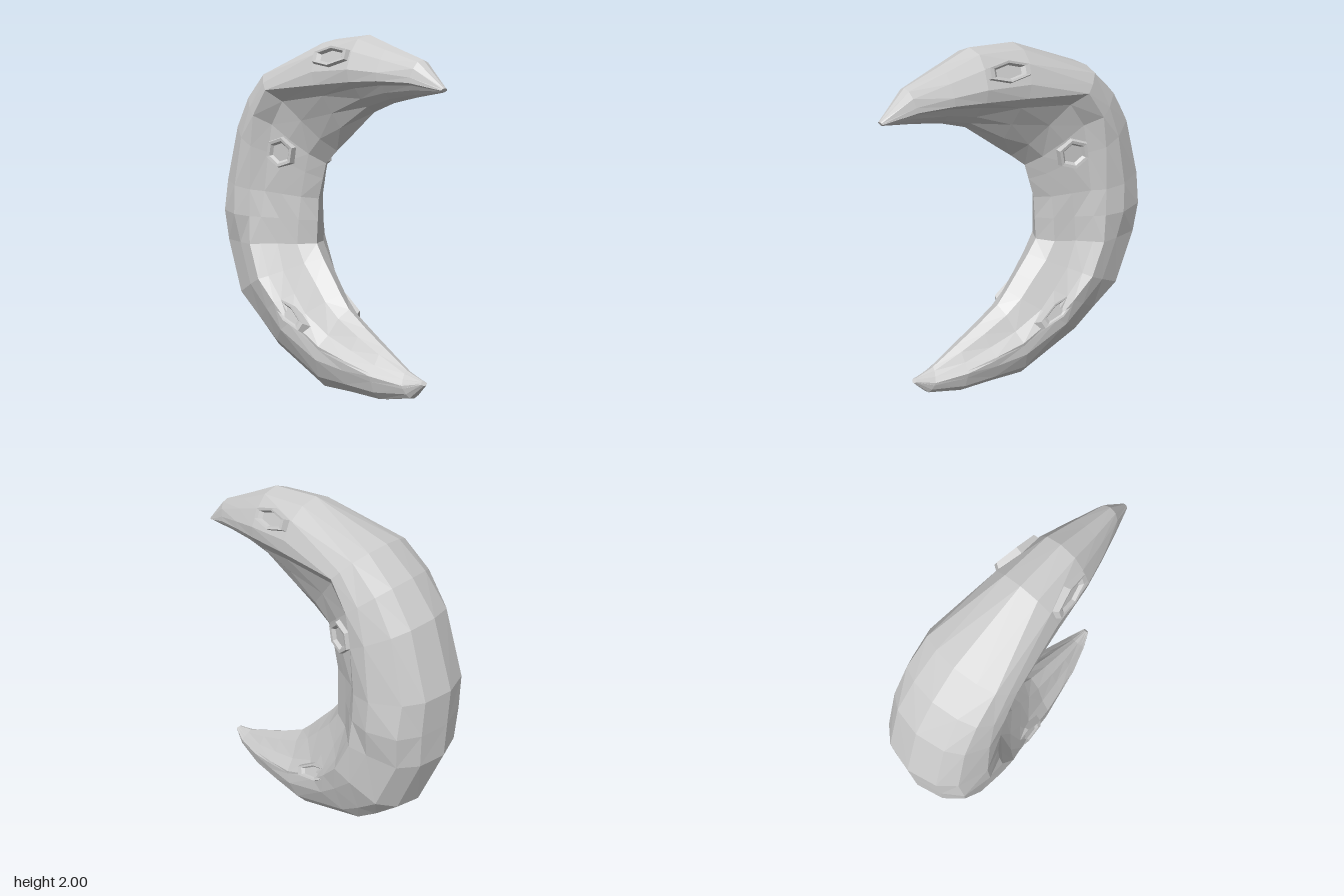
import * as THREE from 'three';

// Stations from upper tip to lower tip:
// outer x, outer y, inner x, inner y, half width, place of the side crease (0 outer .. 1 inner)
const STATIONS = [
  [0.845, 1.71, 0.835, 1.69, 0.02, 0.6],
  [0.70, 1.85, 0.66, 1.67, 0.075, 0.65],
  [0.50, 1.925, 0.50, 1.645, 0.13, 0.65],
  [0.31, 2.00, 0.35, 1.60, 0.175, 0.65],
  [0.03, 2.00, 0.15, 1.46, 0.21, 0.5],
  [-0.42, 1.86, 0.04, 1.385, 0.265, 0.3],
  [-0.58, 1.73, -0.06, 1.31, 0.28, 0.36],
  [-0.72, 1.56, -0.09, 1.22, 0.29, 0.46],
  [-0.85, 1.20, -0.13, 1.10, 0.30, 0.54],
  [-0.85, 1.00, -0.14, 0.97, 0.31, 0.54],
  [-0.85, 0.80, -0.15, 0.83, 0.305, 0.56],
  [-0.72, 0.43, -0.09, 0.75, 0.295, 0.56],
  [-0.56, 0.27, 0.00, 0.65, 0.26, 0.55],
  [-0.42, 0.15, 0.08, 0.56, 0.235, 0.55],
  [0.04, 0.00, 0.15, 0.49, 0.20, 0.55],
  [0.27, 0.035, 0.30, 0.41, 0.165, 0.55],
  [0.48, 0.06, 0.45, 0.34, 0.125, 0.55],
  [0.68, 0.13, 0.62, 0.265, 0.065, 0.55],
  [0.755, 0.22, 0.735, 0.24, 0.02, 0.55],
];

// Half cross-section: u = 0 outer edge, 1 crease, 2 inner edge;
// then relative width in the middle of the crescent and in its horns
const PROFILE = [
  [0, 0, 0], [0.1, 0.57, 0.48], [0.35, 0.9, 0.78], [0.75, 1, 0.96],
  [1, 0.92, 0.97], [1.15, 0.68, 0.7], [1.45, 0.49, 0.5], [1.8, 0.28, 0.27], [2, 0, 0],
];
const MIDDLE = 9;
const { clamp, lerp } = THREE.MathUtils;

function crescentGeometry() {
  const n = PROFILE.length, ringSize = 2 * n - 2;
  const rings = STATIONS.map(([ox, oy, ix, iy, w, k], i) => {
    const horn = clamp(Math.abs(i - MIDDLE) / 3.5, 0, 1);
    const full = 1 + 0.32 * clamp((i - 8) / 5, 0, 1); // the lower horn is less hollow
    const half = PROFILE.map(([u, zMiddle, zHorn], j) => {
      const inside = j > 1 && j < n - 2;
      const rough = inside ? 0.03 * Math.sin(i * 12.9 + j * 7.3) : 0; // hewn surface
      const dent = i === 10 && (j === 2 || j === 3) ? 0.95 : 1; // worn hollow low on the outer flank
      const t = (u <= 1 ? u * k : k + (u - 1) * (1 - k)) + rough;
      const depth = lerp(zMiddle, zHorn, horn) * w * (u > 1 ? full : 1) * dent * (1 + 0.03 * Math.sin(i * 5.1 + j * 3.7));
      return new THREE.Vector3(ox + (ix - ox) * t, oy + (iy - oy) * t, depth);
    });
    const back = half.slice(1, -1).reverse().map((p) => new THREE.Vector3(p.x, p.y, -p.z));
    return half.concat(back);
  });
  const pos = [];
  const tri = (...pts) => pts.forEach((p) => pos.push(p.x, p.y, p.z));
  for (let i = 0; i < rings.length - 1; i++) {
    for (let j = 0; j < ringSize; j++) {
      const j2 = (j + 1) % ringSize;
      const a = rings[i][j], b = rings[i + 1][j], c = rings[i + 1][j2], d = rings[i][j2];
      // Split each quad along its shorter diagonal
      if (a.distanceTo(c) < b.distanceTo(d)) { tri(a, b, c); tri(a, c, d); }
      else { tri(a, b, d); tri(b, c, d); }
    }
  }
  // Close both tips
  const first = rings[0], last = rings[rings.length - 1];
  for (let j = 1; j < ringSize - 1; j++) {
    tri(first[0], first[j], first[j + 1]);
    tri(last[0], last[j + 1], last[j]);
  }
  const geo = new THREE.BufferGeometry();
  geo.setAttribute('position', new THREE.Float32BufferAttribute(pos, 3));
  geo.computeVertexNormals();
  return geo;
}

// Raised rim around a shallow floor, facing +z
function craterGeometry(rx, ry, height, angle) {
  const outline = [[1, -0.04], [0.82, height], [0.65, height * 0.9], [0.52, height * 0.2], [0, height * 0.2]];
  const geo = new THREE.LatheGeometry(outline.map(([r, y]) => new THREE.Vector2(r, y)), 6);
  return geo.rotateX(Math.PI / 2).scale(rx, ry, 1).rotateZ(angle);
}

export function createModel() {
  const model = new THREE.Group();
  model.name = 'crescentMoon';
  const material = new THREE.MeshStandardMaterial({ color: 0xcccccc, flatShading: true });

  const body = new THREE.Mesh(crescentGeometry(), material);
  body.name = 'crescentBody';
  model.add(body);

  // Craters, set onto both flanks: name, x, y, radii, rim height, turn, facing direction
  const craters = [
    ['upperCrater', 0.19, 1.885, 0.16, 0.065, 0.025, 0.03, [0.15, 0.35, 1]],
    ['middleCrater', -0.28, 1.37, 0.115, 0.105, 0.025, -0.2, [0.4, -0.05, 1]],
    ['lowerCrater', -0.14, 0.44, 0.19, 0.06, 0.015, -0.42, [0.2, 0.35, 1]],
  ];
  const ray = new THREE.Raycaster();
  for (const [name, x, y, rx, ry, height, angle, [nx, ny, nz]] of craters) {
    for (const side of [1, -1]) {
      ray.set(new THREE.Vector3(x, y, side), new THREE.Vector3(0, 0, -side));
      const hit = ray.intersectObject(body)[0];
      const crater = new THREE.Mesh(craterGeometry(rx, ry, height, side * angle), material);
      crater.name = name + (side > 0 ? 'Front' : 'Back');
      // Turn to the flank first, then tilt along the surface
      const flank = new THREE.Quaternion().setFromAxisAngle(new THREE.Vector3(0, 1, 0), side > 0 ? 0 : Math.PI);
      const facing = new THREE.Vector3(nx, ny, nz * side).normalize();
      const tilt = new THREE.Quaternion().setFromUnitVectors(new THREE.Vector3(0, 0, side), facing);
      crater.quaternion.copy(tilt.multiply(flank));
      crater.position.copy(hit.point);
      model.add(crater);
    }
  }
  return model;
}
